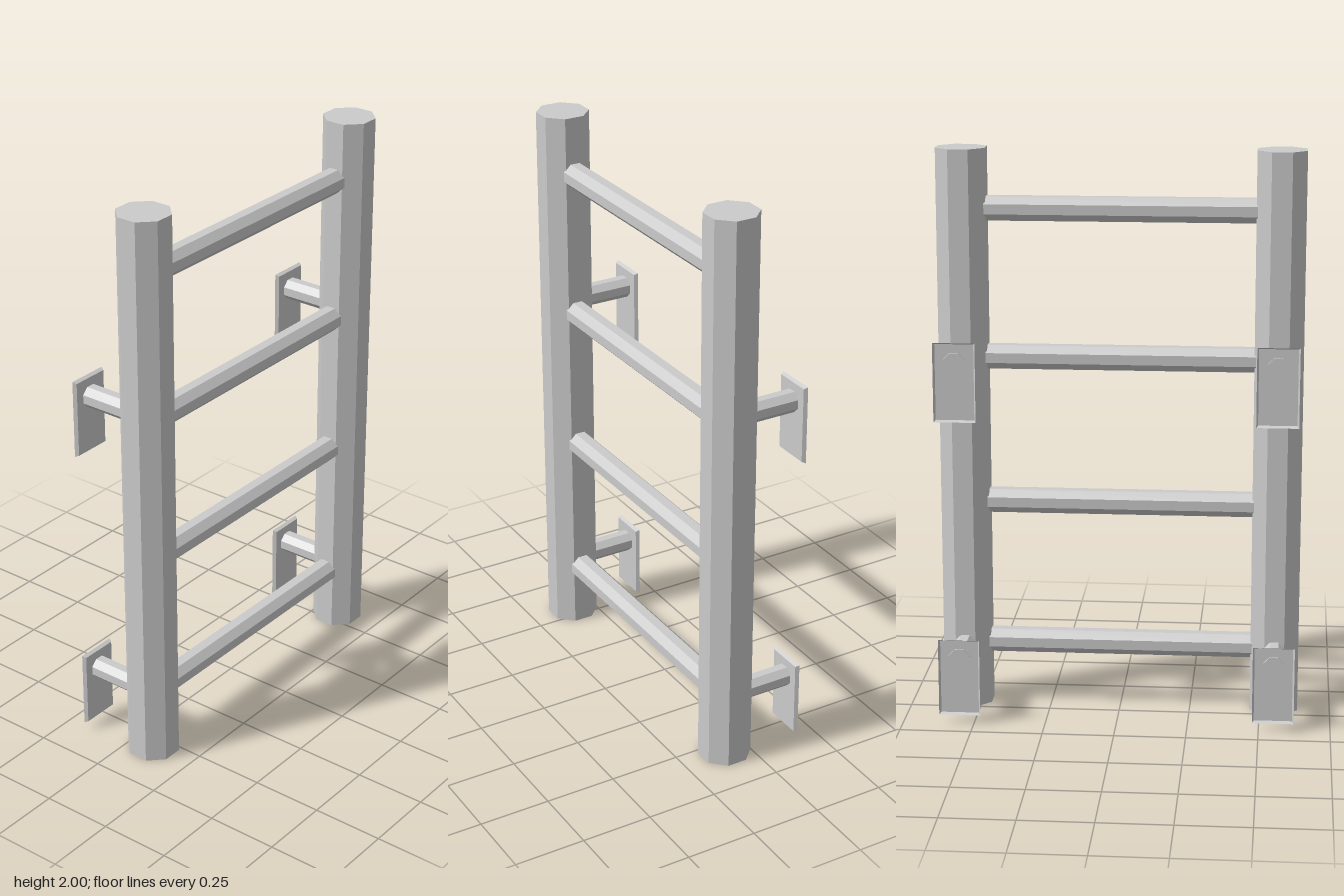
import * as THREE from 'three';

const material = new THREE.MeshStandardMaterial({ color: 0xcccccc, flatShading: true });
const shellMaterial = new THREE.MeshStandardMaterial({ color: 0xcccccc, flatShading: true, side: THREE.DoubleSide });

// Eight-sided bar measured across its flats, with flats facing the axes
function octagonBar(width, length) {
  const radius = width / 2 / Math.cos(Math.PI / 8);
  return new THREE.CylinderGeometry(radius, radius, length, 8, 1, false, Math.PI / 8);
}

// Shallow tray, open towards -x, with walls tapering in towards +x
function trayGeometry(depth, height, width, inset) {
  const geometry = new THREE.BoxGeometry(depth, height, width);
  const p = geometry.attributes.position;
  for (let i = 0; i < p.count; i++) {
    if (p.getX(i) > 0) {
      p.setY(i, p.getY(i) - Math.sign(p.getY(i)) * inset);
      p.setZ(i, p.getZ(i) - Math.sign(p.getZ(i)) * inset);
    }
  }
  const index = Array.from(geometry.index.array);
  index.splice(6, 6); // leave out the -x face
  geometry.setIndex(index);
  geometry.clearGroups();
  geometry.computeVertexNormals();
  return geometry;
}

export function createModel() {
  const model = new THREE.Group();
  model.name = 'wallLadder';

  const add = (parent, name, geometry, x, y, z, mat = material) => {
    const mesh = new THREE.Mesh(geometry, mat);
    mesh.name = name;
    mesh.position.set(x, y, z);
    parent.add(mesh);
  };

  const railX = 0.085;
  const railZ = 0.55;
  const railGeometry = octagonBar(0.17, 2);
  const rungGeometry = octagonBar(0.084, 0.94).rotateX(Math.PI / 2);
  const armGeometry = octagonBar(0.073, 0.171).rotateZ(Math.PI / 2);
  const plateGeometry = trayGeometry(0.013, 0.276, 0.145, 0.006);

  // Rungs
  for (let i = 0; i < 4; i++) {
    add(model, 'rung', rungGeometry, railX, 0.231 + i * 0.52, 0);
  }

  // Rails, each with two wall brackets
  for (const side of [1, -1]) {
    add(model, side > 0 ? 'frontRail' : 'backRail', railGeometry, railX, 1, side * railZ);
    for (const y of [0.233, 1.292]) {
      const bracket = new THREE.Group();
      bracket.name = 'wallBracket';
      bracket.position.set(0, y, side * railZ);
      add(bracket, 'bracketArm', armGeometry, -0.0795, 0, 0);
      add(bracket, 'wallPlate', plateGeometry, -0.1635, -0.065, 0, shellMaterial);
      model.add(bracket);
    }
  }
  return model;
}
